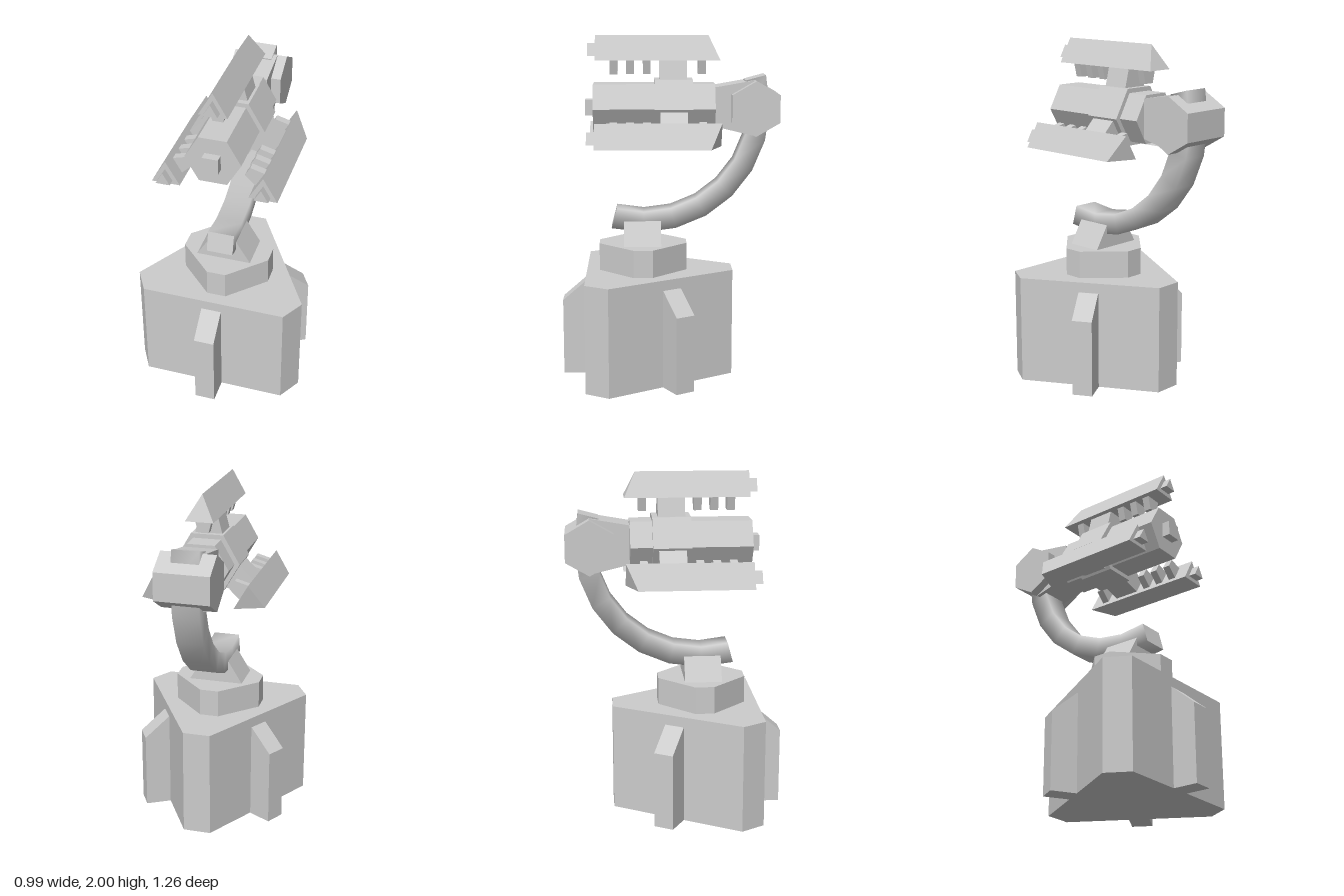
import * as THREE from 'three';

const grey = new THREE.MeshStandardMaterial({ color: 0xcccccc, flatShading: true });
const smoothGrey = new THREE.MeshStandardMaterial({ color: 0xcccccc });

function part(name, geometry, material = grey) {
  const mesh = new THREE.Mesh(geometry, material);
  mesh.name = name;
  return mesh;
}

// Extrude an (x, y) outline from z0 to z1
function prism(points, z0, z1) {
  const shape = new THREE.Shape(points.map(([x, y]) => new THREE.Vector2(x, y)));
  return new THREE.ExtrudeGeometry(shape, { depth: z1 - z0, bevelEnabled: false }).translate(0, 0, z0);
}

// Extrude an (x, z) outline upwards
const planPrism = (points, y0, y1) =>
  prism(points.map(([x, z]) => [x, -z]), y0, y1).rotateX(-Math.PI / 2);

// Extrude a (z, y) outline sideways
const sidePrism = (points, x0, x1) =>
  prism(points.map(([z, y]) => [-z, y]), x0, x1).rotateY(Math.PI / 2);

// Regular hexagon; start is the angle of the first corner
const hexagon = (r, cx, cy, start = 0) => Array.from({ length: 6 }, (_, i) => {
  const a = start + i * Math.PI / 3;
  return [cx + r * Math.cos(a), cy + r * Math.sin(a)];
});

// Symmetric trapezoid between two heights
const trapezoid = (w0, y0, w1, y1) => [[-w0, y0], [w0, y0], [w1, y1], [-w1, y1]];

// Square-section arm swept along an arc in the side plane
function armGeometry() {
  const w = 0.077, inner = 0.605, outer = 0.725, steps = 8;
  const pos = [], index = [];
  const ring = (i) => {
    const a = THREE.MathUtils.degToRad(-15 + 15 * i);
    for (const [x, r] of [[-w, outer], [w, outer], [w, inner], [-w, inner]])
      pos.push(x, 1.59 - r * Math.cos(a), 0.15 - r * Math.sin(a));
  };
  for (let i = 0; i <= steps; i++) ring(i);
  for (let i = 0; i < steps; i++) {
    for (let j = 0; j < 4; j++) {
      const a = i * 4 + j, b = i * 4 + (j + 1) % 4;
      index.push(a, a + 4, b, b, a + 4, b + 4);
    }
  }
  // End caps with their own corners
  const s = pos.length / 3;
  ring(0);
  ring(steps);
  index.push(s, s + 1, s + 2, s, s + 2, s + 3, s + 4, s + 6, s + 5, s + 4, s + 7, s + 6);
  const g = new THREE.BufferGeometry();
  g.setAttribute('position', new THREE.Float32BufferAttribute(pos, 3));
  g.setIndex(index);
  g.computeVertexNormals();
  return g;
}

// Triangular rail whose rear end slopes forward towards the ridge
function railGeometry() {
  const g = prism([[-0.08, 0.27], [0.08, 0.27], [0, 0.41]], -0.29, 0.425);
  const p = g.attributes.position;
  for (let i = 0; i < p.count; i++)
    if (p.getZ(i) < 0 && p.getY(i) > 0.4) p.setZ(i, -0.225);
  g.computeVertexNormals();
  return g;
}

// One rail with its post, teeth and tip, measured from the barrel axis
function railAssembly() {
  const rail = new THREE.Group();
  rail.name = 'railAssembly';
  rail.add(part('rail', railGeometry()));
  rail.add(part('railTip', prism([[-0.04, 0.295], [0.04, 0.295], [0, 0.365]], 0.425, 0.47)));
  rail.add(part('railPost', prism(trapezoid(0.08, 0.155, 0.05, 0.27), -0.1, 0.055)));
  for (const z of [0.32, 0.225, 0.13, -0.187])
    rail.add(part('railTooth', prism(trapezoid(0.03, 0.19, 0.05, 0.27), z - 0.022, z + 0.022)));
  return rail;
}

export function createModel() {
  const model = new THREE.Group();
  model.name = 'turret';

  // Pedestal: triangular block with cut corners, and a fin on each wall
  model.add(part('base', planPrism(
    [[-0.42, 0.485], [0.42, 0.485], [0.497, 0.35], [0.08, -0.37], [-0.08, -0.37], [-0.497, 0.35]], 0, 0.635)));
  for (let i = 0; i < 3; i++) {
    const fin = part('baseFin', sidePrism(
      [[0.3, 0], [0.479, 0], [0.479, 0.45], [0.334, 0.575], [0.3, 0.575]], -0.067, 0.051));
    fin.position.z = 0.151;
    fin.rotation.y = i * Math.PI * 2 / 3;
    model.add(fin);
  }

  // Turntable: diamond with cut corners
  const a = 0.255, b = 0.055;
  model.add(part('turntable', planPrism(
    [[a, b], [b, a], [-b, a], [-a, b], [-a, -b], [-b, -a], [b, -a], [a, -b]]
      .map(([x, z]) => [x, z + 0.155]), 0.635, 0.795)));
  model.add(part('armMount', prism(trapezoid(0.16, 0.795, 0.077, 0.93), 0.05, 0.265)));

  // Curved arm, hexagonal joint and neck
  model.add(part('arm', armGeometry(), smoothGrey));
  model.add(part('joint', sidePrism(hexagon(0.158, -0.49, 1.59, Math.PI / 6), -0.156, 0.156)));
  model.add(part('neck', sidePrism(
    [[-0.262, 1.485], [-0.262, 1.71], [-0.49, 1.75], [-0.49, 1.43]], -0.1, 0.1)));

  // Gun: barrel, collar, muzzle and three rails around the axis
  const gun = new THREE.Group();
  gun.name = 'gun';
  gun.position.y = 1.59;
  gun.add(part('barrel', prism(hexagon(0.158, 0, 0), -0.26, 0.437)));
  gun.add(part('barrelCollar', prism(hexagon(0.187, 0, 0), -0.133, 0.087)));
  gun.add(part('muzzle', prism(trapezoid(0.045, -0.045, 0.045, 0.045), 0.437, 0.485)));
  for (let i = 0; i < 3; i++) {
    const rail = railAssembly();
    rail.rotation.z = i * Math.PI * 2 / 3;
    gun.add(rail);
  }
  model.add(gun);
  return model;
}
